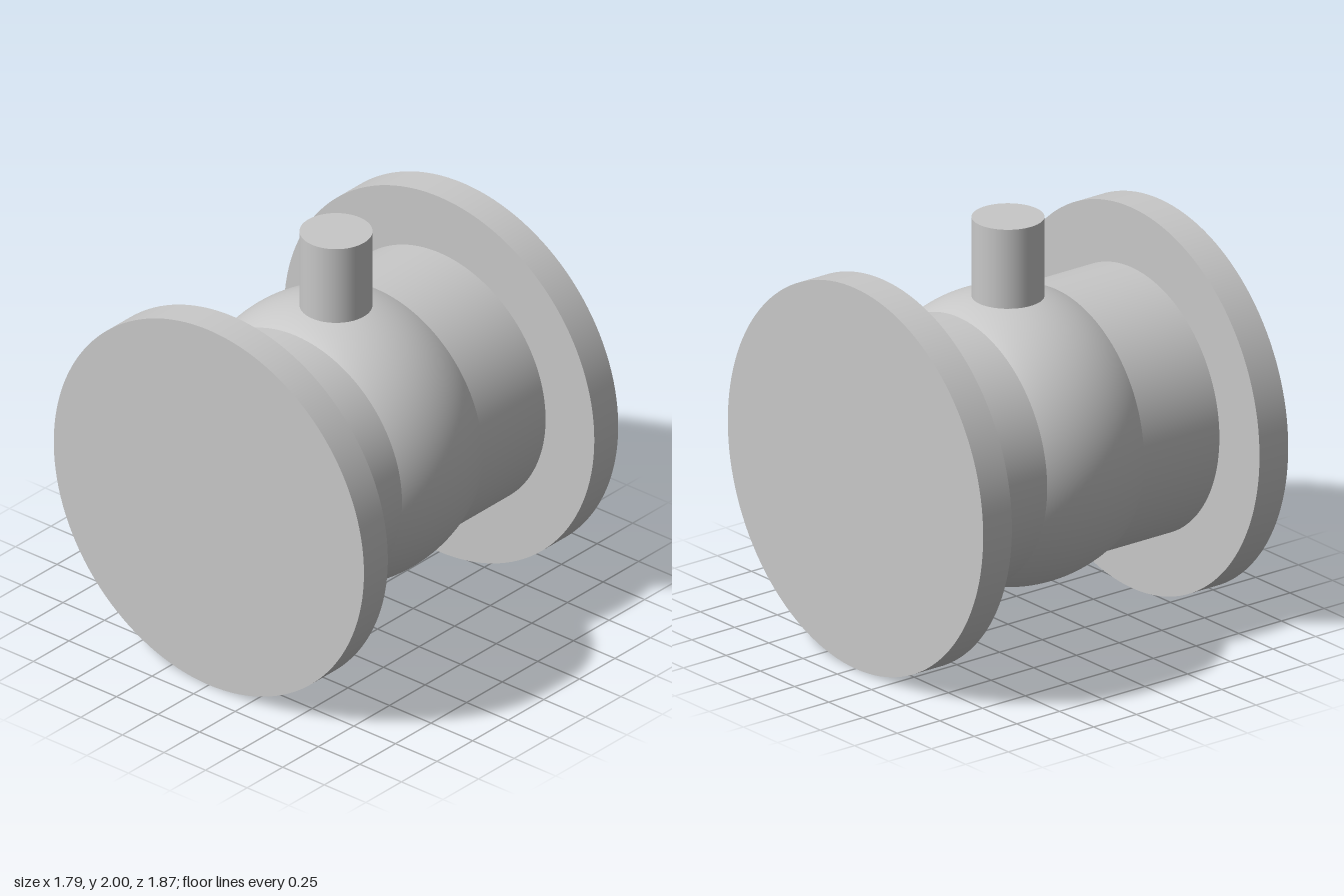
import * as THREE from 'three';

const AXIS_Y = 0.933, FLANGE_R = 0.933, PIPE_R = 0.64, BALL_R = 0.7, STEM_R = 0.167;
const FLANGE_IN = 0.725, FLANGE_OUT = 0.893;
const SEAM_X = Math.sqrt(BALL_R ** 2 - PIPE_R ** 2); // where the ball meets the pipe

export function createModel() {
  const model = new THREE.Group();
  model.name = 'flangedBallValve';
  const steel = new THREE.MeshStandardMaterial({ color: 0xc8c8c8 });
  steel.name = 'light grey steel';

  const add = (name, geometry, x, y) => {
    const mesh = new THREE.Mesh(geometry, steel);
    mesh.name = name;
    mesh.position.set(x, y, 0);
    model.add(mesh);
  };

  // Cylinder lying along x between two stations
  const alongX = (name, radius, x0, x1) => {
    const geometry = new THREE.CylinderGeometry(radius, radius, Math.abs(x1 - x0), 128);
    add(name, geometry.rotateZ(Math.PI / 2), (x0 + x1) / 2, AXIS_Y);
  };

  // Mirrored pipe ends and solid flanges
  for (const [side, s] of [['left', 1], ['right', -1]]) {
    alongX(side + 'Pipe', PIPE_R, s * SEAM_X, s * FLANGE_IN);
    alongX(side + 'Flange', FLANGE_R, s * FLANGE_IN, s * FLANGE_OUT);
  }

  // Bulging middle: a band of a sphere around the pipe axis
  const theta = Math.acos(SEAM_X / BALL_R);
  const band = new THREE.SphereGeometry(BALL_R, 128, 24, 0, Math.PI * 2, theta, Math.PI - 2 * theta);
  add('ballBody', band.rotateZ(Math.PI / 2), 0, AXIS_Y);

  // Upright stem, sunk into the ball
  const stemBottom = 1.5, stemTop = 2;
  add('stem', new THREE.CylinderGeometry(STEM_R, STEM_R, stemTop - stemBottom, 64), 0, (stemTop + stemBottom) / 2);

  return model;
}
